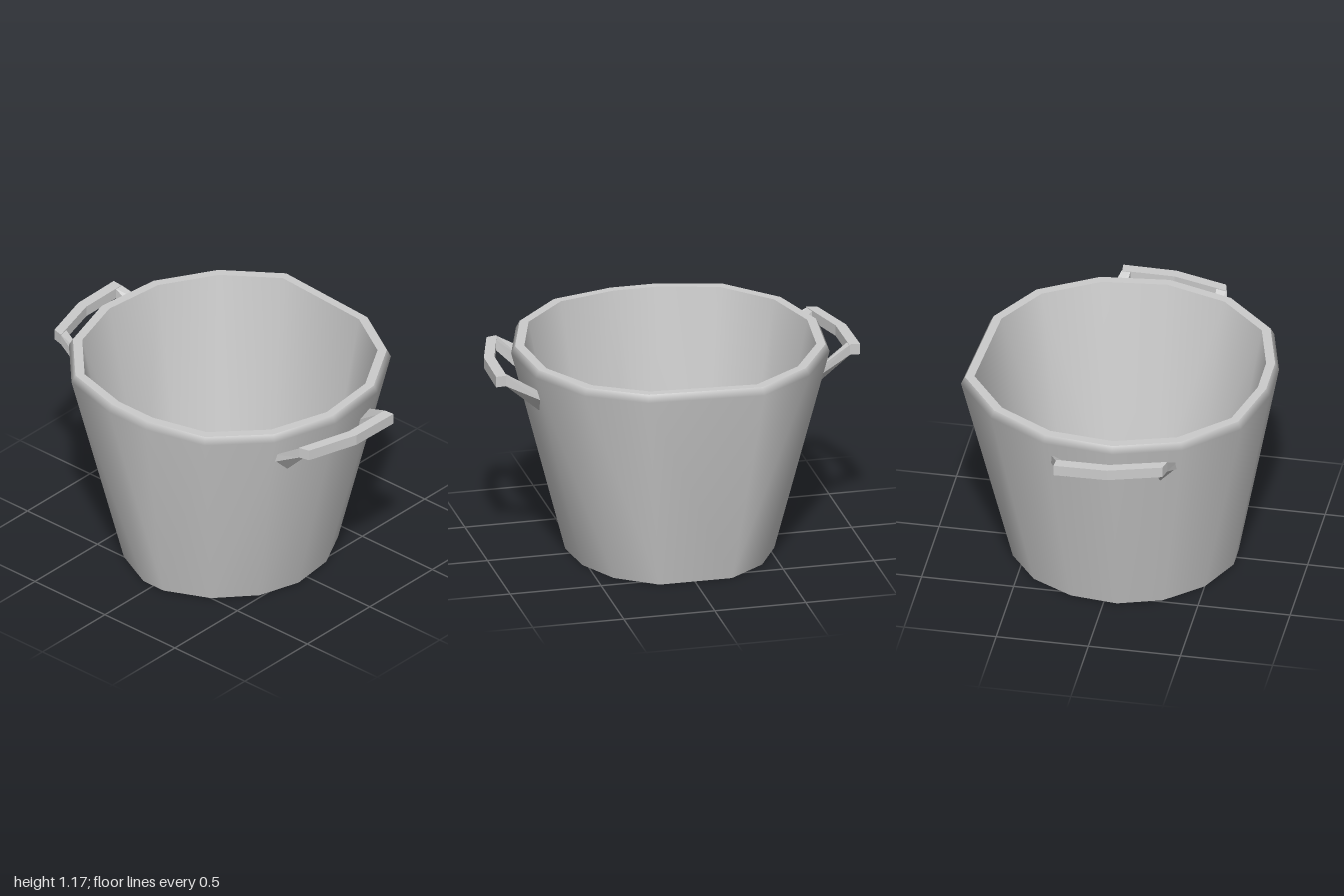
import * as THREE from 'three';

// Plan outlines (x, z), counter-clockwise from above
const RIM = [[0.82, -0.32], [0.6, -0.62], [0.28, -0.81], [-0.1, -0.85], [-0.46, -0.74], [-0.73, -0.48], [-0.82, -0.13],
  [-0.82, 0.13], [-0.73, 0.47], [-0.46, 0.73], [-0.1, 0.845], [0.28, 0.805], [0.6, 0.615], [0.78, 0.31]];
const FLOOR = [[0.55, -0.2], [0.4, -0.4], [0.18, -0.52], [-0.07, -0.55], [-0.3, -0.475], [-0.49, -0.305], [-0.6, -0.07],
  [-0.6, 0.07], [-0.49, 0.305], [-0.3, 0.475], [-0.07, 0.545], [0.18, 0.515], [0.4, 0.4], [0.55, 0.19]];

const ring = (outline, scale, y) => outline.map(([x, z]) => [x * scale, y, z * scale]);

// Skins a list of closed rings; caps close the first and last ring
function loft(rings, { caps = false, flip = false, swap = () => false, flat = false } = {}) {
  const n = rings[0].length, index = [];
  const tri = (a, b, c) => index.push(...(flip ? [a, c, b] : [a, b, c]));
  for (let r = 0; r < rings.length - 1; r++) {
    for (let i = 0; i < n; i++) {
      const j = (i + 1) % n;
      const a = r * n + i, b = r * n + j, c = b + n, d = a + n;
      if (swap(i)) { tri(a, b, d); tri(b, c, d); } else { tri(a, b, c); tri(a, c, d); }
    }
  }
  if (caps) {
    const last = (rings.length - 1) * n;
    for (let i = 1; i < n - 1; i++) {
      tri(0, i + 1, i);
      tri(last, last + i, last + i + 1);
    }
  }
  let geo = new THREE.BufferGeometry();
  geo.setAttribute('position', new THREE.Float32BufferAttribute(rings.flat(2), 3));
  geo.setIndex(index);
  if (flat) geo = geo.toNonIndexed();
  geo.computeVertexNormals();
  return geo;
}

// Flat polygon facing up or down
function disc(points, down) {
  const geo = new THREE.BufferGeometry();
  const index = [];
  for (let i = 1; i < points.length - 1; i++) index.push(0, ...(down ? [i + 1, i] : [i, i + 1]));
  geo.setAttribute('position', new THREE.Float32BufferAttribute(points.flat(), 3));
  geo.setIndex(index);
  geo.computeVertexNormals();
  return geo;
}

export function createModel() {
  const model = new THREE.Group();
  const material = new THREE.MeshStandardMaterial({ color: 0xcccccc });
  const add = (parent, name, geo) => {
    const mesh = new THREE.Mesh(geo, material);
    mesh.name = name;
    parent.add(mesh);
  };

  const base = ring(FLOOR, 1.02, 0);
  const lip = ring(RIM, 1, 1.135);
  const rimOuter = ring(RIM, 0.975, 1.175);
  const rimInner = ring(RIM, 0.917, 1.175);
  const floor = ring(FLOOR, 1, 0.04);
  // Wall diagonals fan outwards, away from the handles
  const swap = (i) => (i >= 3 && i <= 6) || i >= 10;

  // Bucket body, with the lip rounding smoothly into the wall
  add(model, 'outerWall', loft([base, lip, rimOuter], { swap }));
  add(model, 'rim', loft([rimOuter, rimInner], { flat: true }));
  add(model, 'innerWall', loft([rimInner, floor], { swap }));
  add(model, 'innerFloor', disc(floor, false));
  add(model, 'underside', disc(base, true));

  // Front and back handles: a bent grip on two sloping arms
  for (const side of [1, -1]) {
    const handle = new THREE.Group();
    handle.name = side > 0 ? 'frontHandle' : 'backHandle';
    const addLoft = (name, rings) => {
      const mirrored = rings.map((r) => r.map(([x, y, z]) => [x, y, z * side]));
      add(handle, name, loft(mirrored, { caps: true, flip: side < 0, flat: true }));
    };

    // Grip sections: x and z of the inner and outer edge
    const grip = [[-0.4, 0.85, -0.385, 0.91], [-0.1, 0.937, -0.1, 0.995], [0.185, 0.94, 0.19, 1]]
      .map(([xi, zi, xo, zo]) => [[xi, 1.065, zi], [xi, 1.125, zi], [xo, 1.125, zo], [xo, 1.065, zo]]);
    addLoft('grip', grip);

    // Arms run from a slanted root on the wall to the back of the grip
    addLoft('leftArm', [
      [[0.165, 0.89, 0.745], [0.255, 0.98, 0.745], [0.25, 1.03, 0.755], [0.165, 1.0, 0.765]],
      [[0.14, 1.066, 0.945], [0.188, 1.066, 0.945], [0.188, 1.124, 0.945], [0.14, 1.124, 0.945]],
    ]);
    addLoft('rightArm', [
      [[-0.43, 0.98, 0.685], [-0.335, 0.89, 0.695], [-0.335, 1.0, 0.72], [-0.425, 1.03, 0.7]],
      [[-0.398, 1.066, 0.855], [-0.34, 1.066, 0.872], [-0.34, 1.124, 0.872], [-0.398, 1.124, 0.855]],
    ]);
    model.add(handle);
  }
  return model;
}
